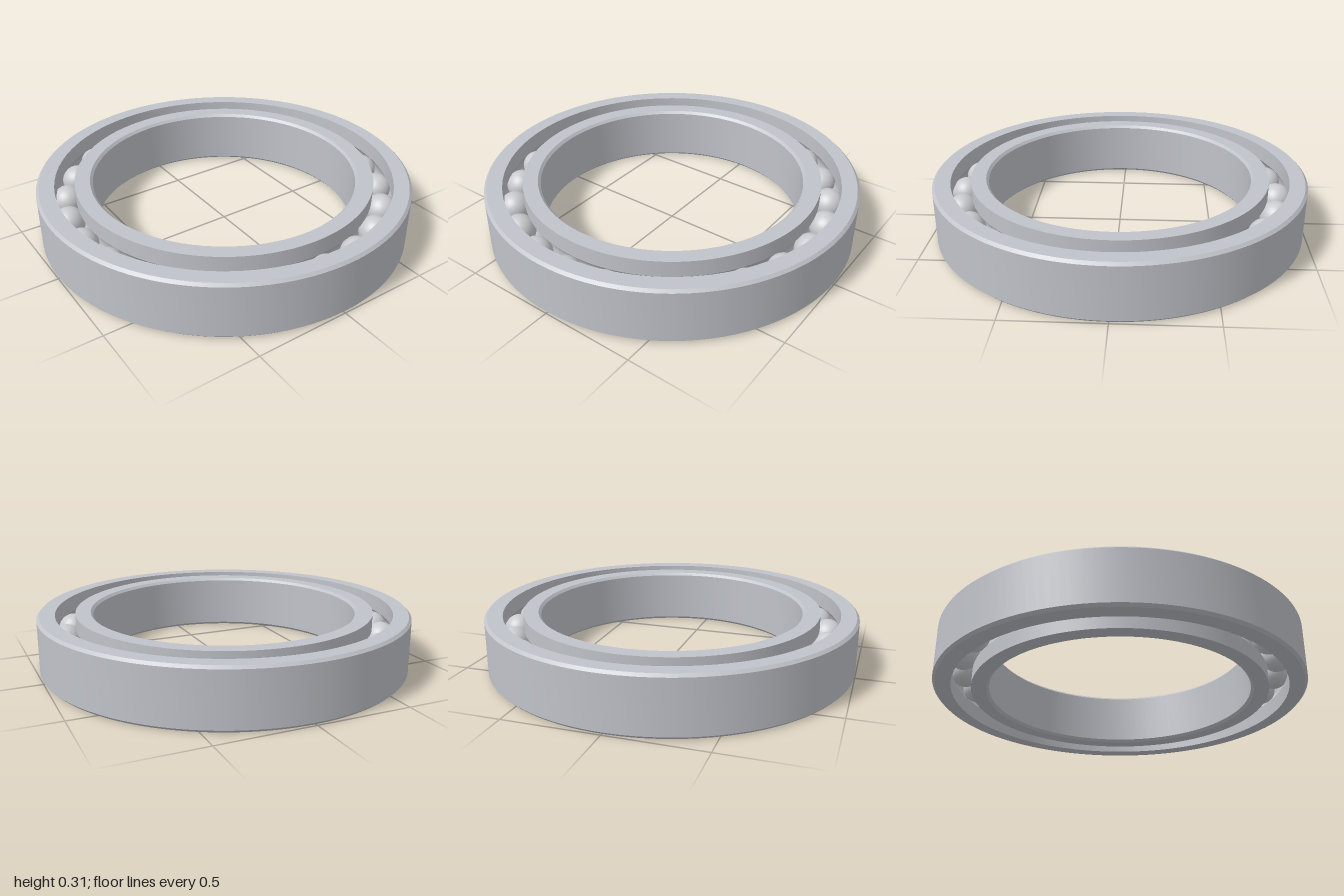
import * as THREE from 'three';
import { toCreasedNormals } from 'three/addons/utils/BufferGeometryUtils.js';

const HEIGHT = 0.305, MID = HEIGHT / 2, CHAMFER = 0.014;
const PITCH = 0.8525, BALL_RADIUS = 0.083, GROOVE_RADIUS = 0.084;
const LIP = 0.0525; // distance from the pitch circle to each ring's facing wall
const BALLS = 24, SEGMENTS = 128;

// Arc of the raceway groove; side is +1 for the outer ring, -1 for the inner ring
function groove(side) {
  const half = Math.acos(LIP / GROOVE_RADIUS), steps = 12, points = [];
  for (let i = 0; i <= steps; i++) {
    const t = side * half * (1 - (2 * i) / steps);
    points.push([PITCH + side * GROOVE_RADIUS * Math.cos(t), MID + GROOVE_RADIUS * Math.sin(t)]);
  }
  return points;
}

// Revolve a closed profile, listed counter-clockwise
function ring(name, profile, material) {
  const points = [...profile, profile[0]].map(([r, y]) => new THREE.Vector2(r, y));
  const geometry = toCreasedNormals(new THREE.LatheGeometry(points, SEGMENTS), 0.5);
  const mesh = new THREE.Mesh(geometry, material);
  mesh.name = name;
  return mesh;
}

export function createModel() {
  const group = new THREE.Group();
  group.name = 'ballBearing';
  const steel = new THREE.MeshStandardMaterial({ color: 0xc0c3c9 });
  steel.name = 'ring steel';
  const polished = new THREE.MeshStandardMaterial({ color: 0xc8cacd });
  polished.name = 'ball steel';

  // Outer ring: chamfered outside, grooved inside
  const outerWall = PITCH + LIP;
  group.add(ring('outerRing', [
    [outerWall, 0], [1 - CHAMFER, 0], [1, CHAMFER],
    [1, HEIGHT - CHAMFER], [1 - CHAMFER, HEIGHT], [outerWall, HEIGHT],
    ...groove(1),
  ], steel));

  // Inner ring: grooved outside, chamfered bore
  const innerWall = PITCH - LIP, bore = 0.706;
  group.add(ring('innerRing', [
    [bore + CHAMFER, 0], [innerWall, 0],
    ...groove(-1),
    [innerWall, HEIGHT], [bore + CHAMFER, HEIGHT],
    [bore, HEIGHT - CHAMFER], [bore, CHAMFER],
  ], steel));

  // Balls evenly spaced around the raceway
  const balls = new THREE.Group();
  balls.name = 'balls';
  const ballGeometry = new THREE.SphereGeometry(BALL_RADIUS, 32, 20);
  for (let i = 0; i < BALLS; i++) {
    const a = (i / BALLS) * Math.PI * 2;
    const ball = new THREE.Mesh(ballGeometry, polished);
    ball.name = 'ball';
    ball.position.set(PITCH * Math.cos(a), MID, PITCH * Math.sin(a));
    balls.add(ball);
  }
  group.add(balls);
  return group;
}
